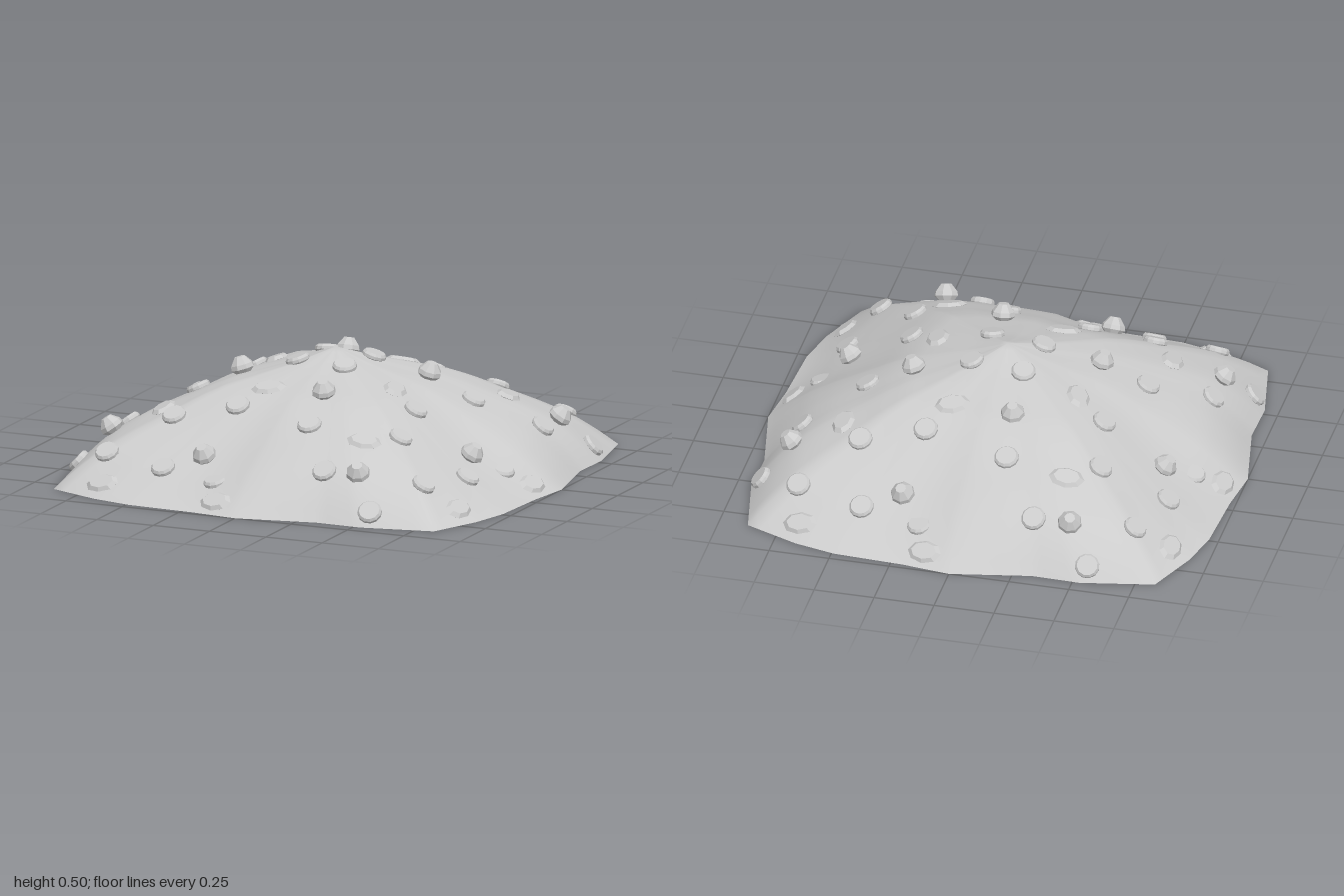
import * as THREE from 'three';

// One quarter of the rim (x, z), turned four times around the dome.
const RIM_QUARTER = [[-0.88, 0.83], [-0.66, 0.92], [-0.49, 0.96], [-0.2, 0.975], [0, 1], [0.33, 0.935], [0.53, 0.94]];
const RIM = [];
for (let k = 0; k < 4; k++) {
  for (const [x, z] of RIM_QUARTER) {
    RIM.push([[x, z], [z, -x], [-x, -z], [-z, x]][k]);
  }
}
const cross = (a, b) => a[1] * b[0] - a[0] * b[1];

// Height along a spoke, from the peak (0) to the rim (1).
const PROFILE = [[0, 1], [0.15, 0.89], [0.39, 0.75], [0.48, 0.67], [0.58, 0.56], [0.73, 0.4], [0.83, 0.28], [0.92, 0.14], [1, 0]];

function profile(t) {
  for (let i = 1; i < PROFILE.length; i++) {
    const [t0, h0] = PROFILE[i - 1];
    const [t1, h1] = PROFILE[i];
    if (t <= t1) return h0 + (h1 - h0) * (t - t0) / (t1 - t0);
  }
  return 0;
}

function rimRadius(d) {
  for (let i = 0; i < RIM.length; i++) {
    const a = RIM[i], b = RIM[(i + 1) % RIM.length];
    if (cross(a, d) >= -1e-9 && cross(d, b) > 0) {
      return cross(a, b) / cross(d, [b[0] - a[0], b[1] - a[1]]);
    }
  }
  return 1;
}

// Draped surface: the profile plus a gentle four-fold swirl of folds.
function height(x, z) {
  const r = Math.hypot(x, z);
  if (r < 1e-6) return 0.5;
  const t = Math.min(1, r / rimRadius([x / r, z / r]));
  const fold = Math.cos(4 * (Math.atan2(x, z) - 0.39));
  return 0.5 * (profile(t) + 0.95 * fold * t ** 4 * (1 - t));
}

function surfaceNormal(x, z) {
  const e = 0.03;
  return new THREE.Vector3(
    height(x - e, z) - height(x + e, z), 2 * e, height(x, z - e) - height(x, z + e)
  ).normalize();
}

function domeGeometry() {
  const rings = 28, split = 4, spokes = RIM.length * split;
  const pos = [0, 0.5, 0], index = [];
  for (let i = 1; i <= rings; i++) {
    for (let j = 0; j < spokes; j++) {
      const a = RIM[Math.floor(j / split)];
      const b = RIM[(Math.floor(j / split) + 1) % RIM.length];
      const s = (j % split) / split, t = i / rings;
      const x = t * (a[0] + s * (b[0] - a[0])), z = t * (a[1] + s * (b[1] - a[1]));
      pos.push(x, height(x, z), z);
    }
  }
  const at = (i, j) => 1 + (i - 1) * spokes + (j % spokes);
  for (let j = 0; j < spokes; j++) {
    index.push(0, at(1, j), at(1, j + 1));
    for (let i = 1; i < rings; i++) {
      index.push(at(i, j), at(i + 1, j), at(i + 1, j + 1), at(i, j), at(i + 1, j + 1), at(i, j + 1));
    }
  }
  const geo = new THREE.BufferGeometry();
  geo.setAttribute('position', new THREE.Float32BufferAttribute(pos, 3));
  geo.setIndex(index);
  geo.computeVertexNormals();
  return geo;
}

const lathe = (points, sides) => new THREE.LatheGeometry(points.map(p => new THREE.Vector2(...p)), sides);

export function createModel() {
  const model = new THREE.Group();
  model.name = 'studdedDome';
  const smooth = new THREE.MeshStandardMaterial({ color: 0xcccccc, side: THREE.DoubleSide });
  const faceted = new THREE.MeshStandardMaterial({ color: 0xcccccc, flatShading: true });

  const dome = new THREE.Mesh(domeGeometry(), smooth);
  dome.name = 'domeShell';
  model.add(dome);

  // Stud shapes, all built around their own y axis.
  const discGeo = lathe([[0, -0.016], [0.042, -0.016], [0.05, -0.006], [0.05, 0.006], [0.042, 0.016], [0, 0.016]], 12);
  const gemGeo = lathe([[0, -0.05], [0.05, 0], [0.047, 0.018], [0.022, 0.05], [0, 0.05]], 8);
  const ovalGeo = lathe([[0, -0.014], [0.05, -0.014], [0.068, 0], [0.05, 0.014], [0, 0.014]], 8);
  ovalGeo.scale(1.08, 1, 0.74);

  // Places (x, z) in one quarter; ovals add the direction of their long axis.
  const discs = [[0.42, -0.77], [0.7, -0.7], [0.49, -0.505], [0.78, -0.3], [0.89, -0.55], [0.23, -0.455], [0.55, -0.13], [0.125, -0.095]];
  const gems = [[0.26, -0.71], [0.78, -0.45], [0.36, -0.11]];
  const ovals = [[0.66, -0.84, 1, 0], [0.59, -0.39, 0.1, 1], [0.15, -0.33, 1, -0.35], [0.12, -0.925, 1, 0.1]];

  function addStud(parent, name, geo, [x, z, dx = 1, dz = 0], lift, tilt = 0) {
    const n = surfaceNormal(x, z);
    const side = new THREE.Vector3(dx, 0, dz).projectOnPlane(n).normalize();
    const stud = new THREE.Mesh(geo, faceted);
    stud.name = name;
    stud.quaternion.setFromRotationMatrix(
      new THREE.Matrix4().makeBasis(side, n, new THREE.Vector3().crossVectors(side, n)));
    stud.rotateX(tilt);
    stud.position.set(x, height(x, z), z).addScaledVector(n, lift);
    parent.add(stud);
  }

  for (let k = 0; k < 4; k++) {
    const quarter = new THREE.Group();
    quarter.name = 'studQuarter' + (k + 1);
    quarter.rotation.y = k * Math.PI / 2;
    discs.forEach(p => addStud(quarter, 'discStud', discGeo, p, 0.006));
    gems.forEach(p => addStud(quarter, 'gemStud', gemGeo, p, 0.015));
    ovals.forEach(p => addStud(quarter, 'ovalStud', ovalGeo, p, 0));
    // A half-sunk disc that leans into the shell.
    addStud(quarter, 'sunkenDiscStud', discGeo, [0.17, -0.82], -0.008, 0.3);
    model.add(quarter);
  }
  return model;
}
